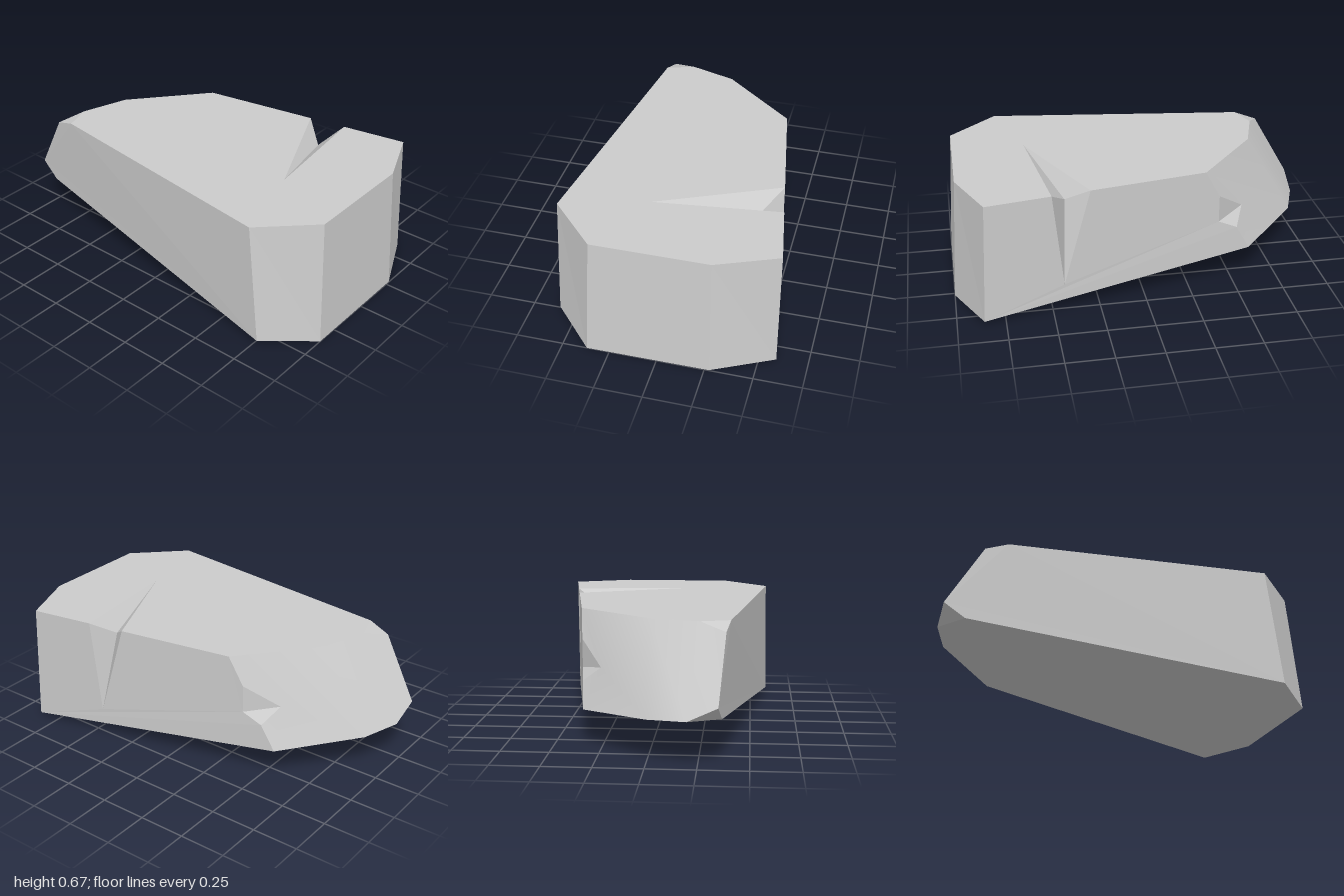
import * as THREE from 'three';
import { toCreasedNormals } from 'three/addons/utils/BufferGeometryUtils.js';

const v = (x, y, z) => new THREE.Vector3(x, y, z);

// Triangulates planar polygons; each is [points, rough outward direction].
function facets(faces) {
  const positions = [];
  for (const [points, hint] of faces) {
    const normal = v(0, 0, 0);
    points.forEach((p, i) => {
      const q = points[(i + 1) % points.length];
      normal.add(p.clone().cross(q));
    });
    normal.normalize();
    if (normal.dot(hint) < 0) normal.negate();
    const turn = new THREE.Quaternion().setFromUnitVectors(normal, v(0, 0, 1));
    const flat = points.map((p) => {
      const q = p.clone().applyQuaternion(turn);
      return new THREE.Vector2(q.x, q.y);
    });
    for (const [a, b, c] of THREE.ShapeUtils.triangulateShape(flat, [])) {
      const area = flat[b].clone().sub(flat[a]).cross(flat[c].clone().sub(flat[a]));
      for (const i of area > 0 ? [a, b, c] : [a, c, b]) positions.push(...points[i].toArray());
    }
  }
  const geometry = new THREE.BufferGeometry();
  geometry.setAttribute('position', new THREE.Float32BufferAttribute(positions, 3));
  geometry.computeVertexNormals();
  return geometry;
}

export function createModel() {
  const group = new THREE.Group();
  group.name = 'rock';
  const stone = new THREE.MeshStandardMaterial({ color: 0xcccccc });
  stone.name = 'grey stone';

  const add = (name, geometry) => {
    const mesh = new THREE.Mesh(geometry, stone);
    mesh.name = name;
    group.add(mesh);
  };

  // Front rims, from -x to +x
  const frontTop = [v(-0.585, 0.67, 0.7), v(-0.335, 0.67, 0.96), v(0.275, 0.67, 0.96), v(0.59, 0.67, 0.83)];
  const frontLow = [v(-0.595, 0.025, 0.77), v(-0.37, 0, 1), v(0.275, 0.003, 1), v(0.59, 0.018, 0.86)];

  // Back rims, from +x to -x
  const backTop = [v(0.39, 0.67, -0.33), v(0, 0.67, -0.66), v(-0.25, 0.67, -0.74), v(-0.38, 0.63, -0.81)];
  const backLow = [v(0.35, 0.185, -0.59), v(0, 0.22, -0.92), v(-0.2, 0.23, -0.995), v(-0.35, 0.3, -1)];
  const topCorner = v(-0.4, 0.67, -0.69);
  const lowCorner = v(-0.365, 0.222, -0.89);

  // Large wedge crack: top tip, two rim ends, inner floor point, foot on the side
  const tip = v(-0.13, 0.67, 0.57);
  const rimFront = v(0.531, 0.67, 0.49);
  const rimBack = v(0.497, 0.67, 0.29);
  const floor = v(0.4, 0.585, 0.413);
  const foot = v(0.52, 0.155, 0.437);

  // Small chip on the back right edge
  const chipTop = v(0.377, 0.52, -0.41);
  const chipSide = v(0.376, 0.37, -0.41);
  const chipLow = v(0.361, 0.32, -0.515);
  const chipTip = v(0.26, 0.4, -0.565);

  add('topFace', facets([
    [[...frontTop, rimFront, tip, rimBack, ...backTop.slice(0, 3), topCorner], v(0, 1, 0)],
    [[backTop[2], backTop[3], topCorner], v(0, 1, 0)],
  ]));

  add('frontFaces', facets([0, 1, 2].map((i) => [
    [frontTop[i], frontLow[i], frontLow[i + 1], frontTop[i + 1]], v(i - 1, 0, 1),
  ])));

  add('rightSide', facets([
    [[frontTop[3], rimFront, foot, rimBack, backTop[0], chipTop, chipSide, chipLow, backLow[0], frontLow[3]],
      v(1, 0, 0)],
  ]));

  add('leftSide', facets([
    [[frontTop[0], frontLow[0], lowCorner, backLow[3], backTop[3], topCorner], v(-1, 0, 0)],
  ]));

  add('underside', facets([
    [[...frontLow, ...backLow.slice(0, 3), lowCorner], v(0, -1, 0)],
    [[backLow[2], backLow[3], lowCorner], v(0, -1, -0.3)],
  ]));

  // Softly rounded back
  add('backSlope', toCreasedNormals(facets([
    [[backTop[0], chipTop, chipTip, chipLow, backLow[0], backLow[1], backTop[1]], v(0.5, 0.3, -1)],
    ...[1, 2].map((i) => [[backTop[i], backLow[i], backLow[i + 1], backTop[i + 1]], v(0, 0.5, -1)]),
  ]), 0.6));

  add('crackWalls', facets([
    [[tip, rimFront, floor], v(0, 1, -1)],
    [[tip, floor, rimBack], v(0, 1, 1)],
    [[rimFront, floor, foot], v(1, 0, -1)],
    [[floor, rimBack, foot], v(1, 0, 1)],
  ]));

  add('chipWalls', facets([
    [[chipTop, chipTip, chipSide], v(1, 0, -1)],
    [[chipSide, chipTip, chipLow], v(0, 1, 0)],
  ]));

  return group;
}
